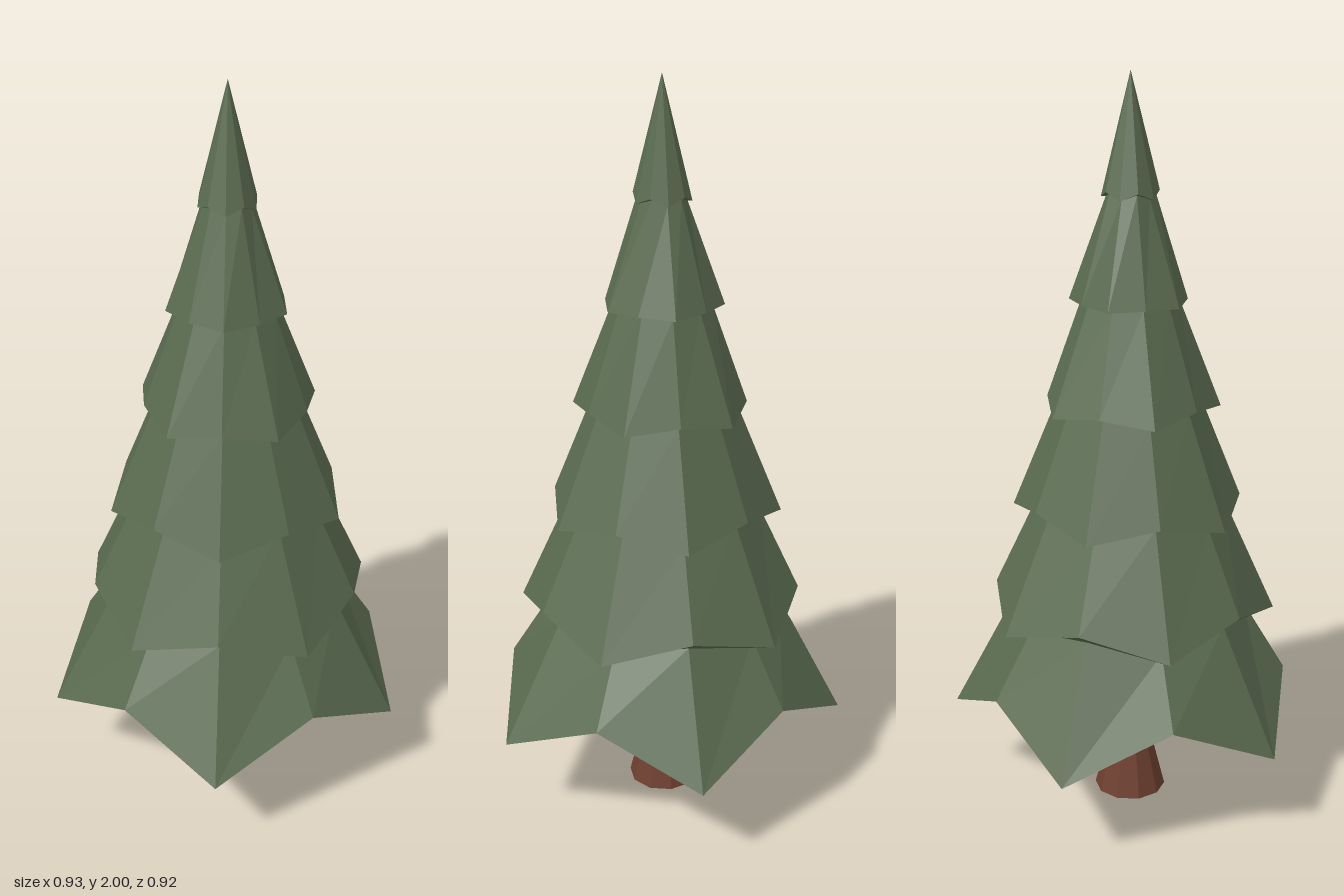
import * as THREE from 'three';

const SIDES = 10;
const CENTER_Z = 0.03;

// Each ring is [radius, y] at even corners, then [radius, y] at odd corners.
// Corner 0 points to the back (-z).
const TIERS = [
  { outer: [0.49, 0.25, 0.425, 0.38], top: [0.315, 0.585, 0.315, 0.556] },
  { outer: [0.367, 0.622, 0.392, 0.56], top: [0.26, 0.85, 0.25, 0.877] },
  { outer: [0.315, 0.85, 0.293, 0.89], top: [0.193, 1.15, 0.193, 1.14] },
  { outer: [0.219, 1.158, 0.238, 1.137], top: [0.127, 1.42, 0.127, 1.422] },
  { outer: [0.159, 1.42, 0.148, 1.424], top: [0.063, 1.686, 0.063, 1.7] },
  { outer: [0.075, 1.686, 0.074, 1.705], top: [0, 2, 0, 2] },
];

// Skin a stack of rings into a faceted surface, bottom to top
function skinRings(rings) {
  const corner = (ring, k) => {
    const odd = (k % 2) * 2;
    const a = (k / SIDES) * Math.PI * 2;
    return [ring[odd] * Math.sin(a), ring[odd + 1], -ring[odd] * Math.cos(a)];
  };
  const positions = [];
  for (let i = 0; i < rings.length - 1; i++) {
    const low = rings[i], high = rings[i + 1];
    for (let k = 0; k < SIDES; k++) {
      const n = (k + 1) % SIDES;
      const a = corner(low, k), b = corner(low, n);
      const c = corner(high, n), d = corner(high, k);
      if (low[0] > 0) positions.push(...b, ...a, ...(high[0] > 0 ? d : c));
      if (high[0] > 0) positions.push(...b, ...d, ...c);
    }
  }
  const geometry = new THREE.BufferGeometry();
  geometry.setAttribute('position', new THREE.Float32BufferAttribute(positions, 3));
  geometry.computeVertexNormals();
  return geometry;
}

export function createModel() {
  const needleGreen = new THREE.MeshStandardMaterial({ color: 0x5a6b50, flatShading: true });
  needleGreen.name = 'needleGreen';
  const barkBrown = new THREE.MeshStandardMaterial({ color: 0x6e3f2f, flatShading: true });
  barkBrown.name = 'barkBrown';

  const tree = new THREE.Group();
  tree.name = 'pineTree';

  // Foliage: hollow underside, then six stacked skirts up to the tip
  const rings = [[0, 0.46, 0, 0.46]];
  for (const tier of TIERS) rings.push(tier.outer, tier.top);
  const foliage = new THREE.Mesh(skinRings(rings), needleGreen);
  foliage.name = 'foliage';
  foliage.position.z = CENTER_Z;
  tree.add(foliage);

  // Trunk: flared at the foot, closed below
  const profile = [[0, 0], [0.098, 0], [0.066, 0.13], [0.052, 0.36], [0.048, 0.47]];
  const trunk = new THREE.Mesh(skinRings(profile.map(([r, y]) => [r, y, r, y])), barkBrown);
  trunk.name = 'trunk';
  trunk.position.z = CENTER_Z;
  tree.add(trunk);

  return tree;
}
